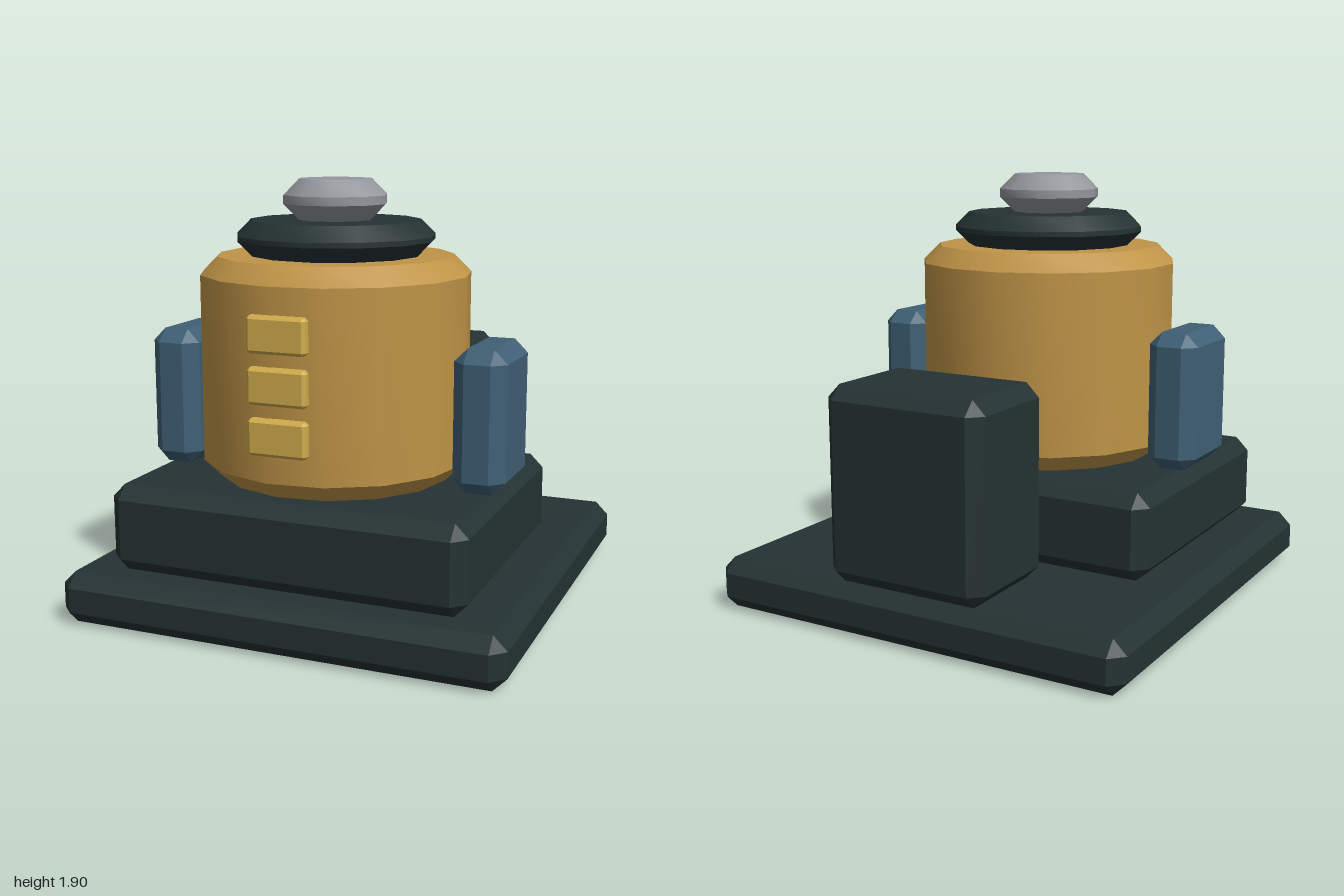
import * as THREE from 'three';
import { ConvexGeometry } from 'three/addons/geometries/ConvexGeometry.js';
import { toCreasedNormals } from 'three/addons/utils/BufferGeometryUtils.js';

const material = (name, color) => {
  const m = new THREE.MeshStandardMaterial({ color });
  m.name = name;
  return m;
};

// Box with every edge cut by a flat chamfer c, given by its min and max corners.
function chamferBox(min, max, c) {
  const h = min.map((v, i) => (max[i] - v) / 2);
  const points = [];
  for (const sx of [-1, 1]) for (const sy of [-1, 1]) for (const sz of [-1, 1]) {
    for (let axis = 0; axis < 3; axis++) {
      const [x, y, z] = h.map((v, i) => (i === axis ? v : v - c));
      points.push(new THREE.Vector3(sx * x, sy * y, sz * z));
    }
  }
  return new ConvexGeometry(points).translate(...min.map((v, i) => v + h[i]));
}

// Upright drum with chamfered rims; the wall is smooth and the rims stay sharp.
function chamferDrum(radius, y0, y1, c, sides) {
  const profile = [
    [0, y0], [radius - c, y0], [radius, y0 + c],
    [radius, y1 - c], [radius - c, y1], [0, y1],
  ].map(([r, y]) => new THREE.Vector2(r, y));
  const lathe = new THREE.LatheGeometry(profile, sides, Math.PI / 2);
  return toCreasedNormals(lathe, 0.7).translate(0, 0, 0.25);
}

export function createModel() {
  const dark = material('dark slate', 0x253233);
  const brass = material('brass', 0xbf9447);
  const gold = material('gold', 0xd0ac4c);
  const blue = material('steel blue', 0x3f6075);
  const grey = material('grey metal', 0x93969c);

  const model = new THREE.Group();
  const add = (name, geometry, mat) => {
    const mesh = new THREE.Mesh(geometry, mat);
    mesh.name = name;
    model.add(mesh);
  };

  // Stepped base and rear cabinet
  add('basePlate', chamferBox([-1, 0, -1], [1, 0.23, 1], 0.06), dark);
  add('plinth', chamferBox([-0.805, 0.23, -0.385], [0.805, 0.615, 0.885], 0.06), dark);
  add('rearCabinet', chamferBox([-0.383, 0.23, -1], [0.383, 1.08, -0.463], 0.06), dark);

  // Stacked round body
  add('drum', chamferDrum(0.593, 0.615, 1.58, 0.077, 15), brass);
  add('collar', chamferDrum(0.438, 1.58, 1.73, 0.064, 13), dark);
  add('cap', chamferDrum(0.23, 1.73, 1.905, 0.069, 10), grey);

  // Side pods
  for (const [name, x] of [['leftPod', 0.598], ['rightPod', -0.828]]) {
    add(name, chamferBox([x, 0.615, 0.04], [x + 0.23, 1.232, 0.468], 0.058), blue);
  }

  // Three front panels
  for (let i = 0; i < 3; i++) {
    const y = 0.812 + i * 0.211;
    add('frontPanel' + (i + 1), chamferBox([-0.132, y, 0.82], [0.13, y + 0.155, 0.873], 0.014), gold);
  }
  return model;
}
